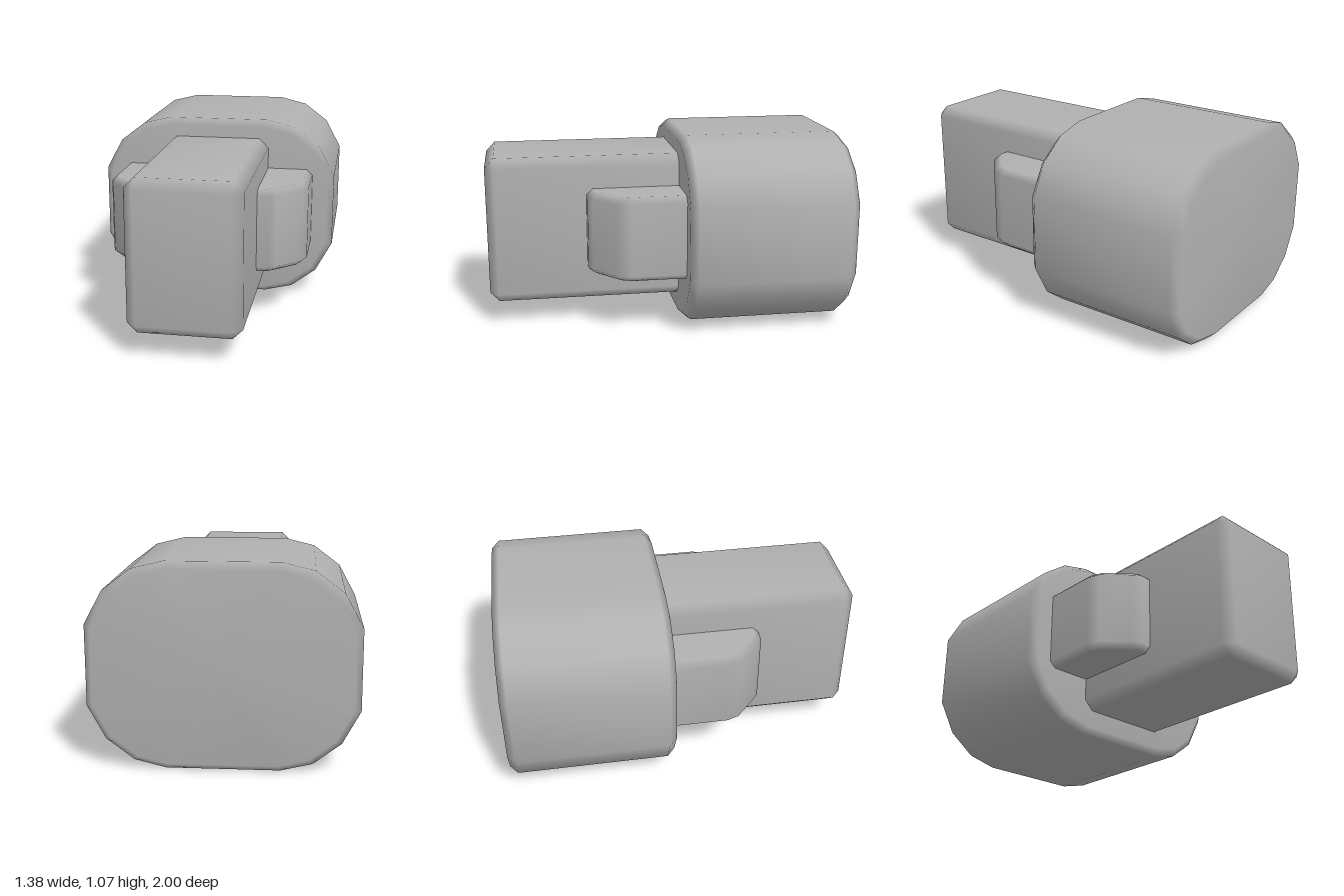
import * as THREE from 'three';
import { mergeVertices } from 'three/addons/utils/BufferGeometryUtils.js';

const grey = new THREE.MeshStandardMaterial({ color: 0xb0b0b0 });
grey.name = 'plain grey';

// Full counter-clockwise outline from the points of its first quarter
function mirrorQuarter(q) {
  const flip = (sx, sy) => q.map(([x, y]) => [x * sx, y * sy]);
  return [...q, ...flip(-1, 1).reverse(), ...flip(-1, -1), ...flip(1, -1).reverse()];
}

// Shrinks an outline by the bevel width on every side
function inset(outline, d) {
  const w = Math.max(...outline.map((p) => p[0]));
  const h = Math.max(...outline.map((p) => p[1]));
  return outline.map(([x, y]) => [x * (1 - d / w), y * (1 - d / h)]);
}

// Bevelled prism along z, centred on the origin, with smooth shared normals
function bevelledPrism(outline, cap, length, bevel) {
  const n = outline.length;
  const h = length / 2;
  const rings = [[cap, -h], [outline, -h + bevel], [outline, h - bevel], [cap, h]];
  const positions = [];
  const index = [];
  for (const [ring, z] of rings) for (const [x, y] of ring) positions.push(x, y, z);
  positions.push(0, 0, -h, 0, 0, h);
  const back = rings.length * n;
  for (let i = 0; i < n; i++) {
    const j = (i + 1) % n;
    for (let k = 0; k < rings.length - 1; k++) {
      const a = k * n, b = a + n;
      index.push(a + i, a + j, b + j, a + i, b + j, b + i);
    }
    const top = back - n;
    index.push(back, j, i, back + 1, top + i, top + j);
  }
  const raw = new THREE.BufferGeometry();
  raw.setAttribute('position', new THREE.Float32BufferAttribute(positions, 3));
  raw.setIndex(index);
  const geometry = mergeVertices(raw, 1e-4);
  geometry.computeVertexNormals();
  return geometry;
}

export function createModel() {
  const model = new THREE.Group();
  const add = (name, geometry, y, z) => {
    const mesh = new THREE.Mesh(geometry, grey);
    mesh.name = name;
    mesh.position.set(0, y, z);
    model.add(mesh);
  };

  // Large rounded body at the back
  const body = mirrorQuarter([[0.69, 0.21], [0.597, 0.383], [0.452, 0.493], [0.29, 0.533]]);
  add('body', bevelledPrism(body, inset(body, 0.037), 0.93, 0.042), 0.533, -0.535);

  // Long block reaching forward
  const block = mirrorQuarter([[0.302, 0.358], [0.248, 0.412]]);
  const blockCap = mirrorQuarter([[0.248, 0.358], [0.248, 0.358]]);
  add('frontBlock', bevelledPrism(block, blockCap, 1.3, 0.05), 0.548, 0.35);

  // Upright cross piece forming a lug on each side of the block
  const lugs = mirrorQuarter([[0.565, 0.16], [0.54, 0.228], [0.408, 0.35], [0.372, 0.375]]);
  const lugGeometry = bevelledPrism(lugs, inset(lugs, 0.035), 0.47, 0.033);
  lugGeometry.rotateX(-Math.PI / 2);
  add('sideLugs', lugGeometry, 0.55, 0.075);

  return model;
}
